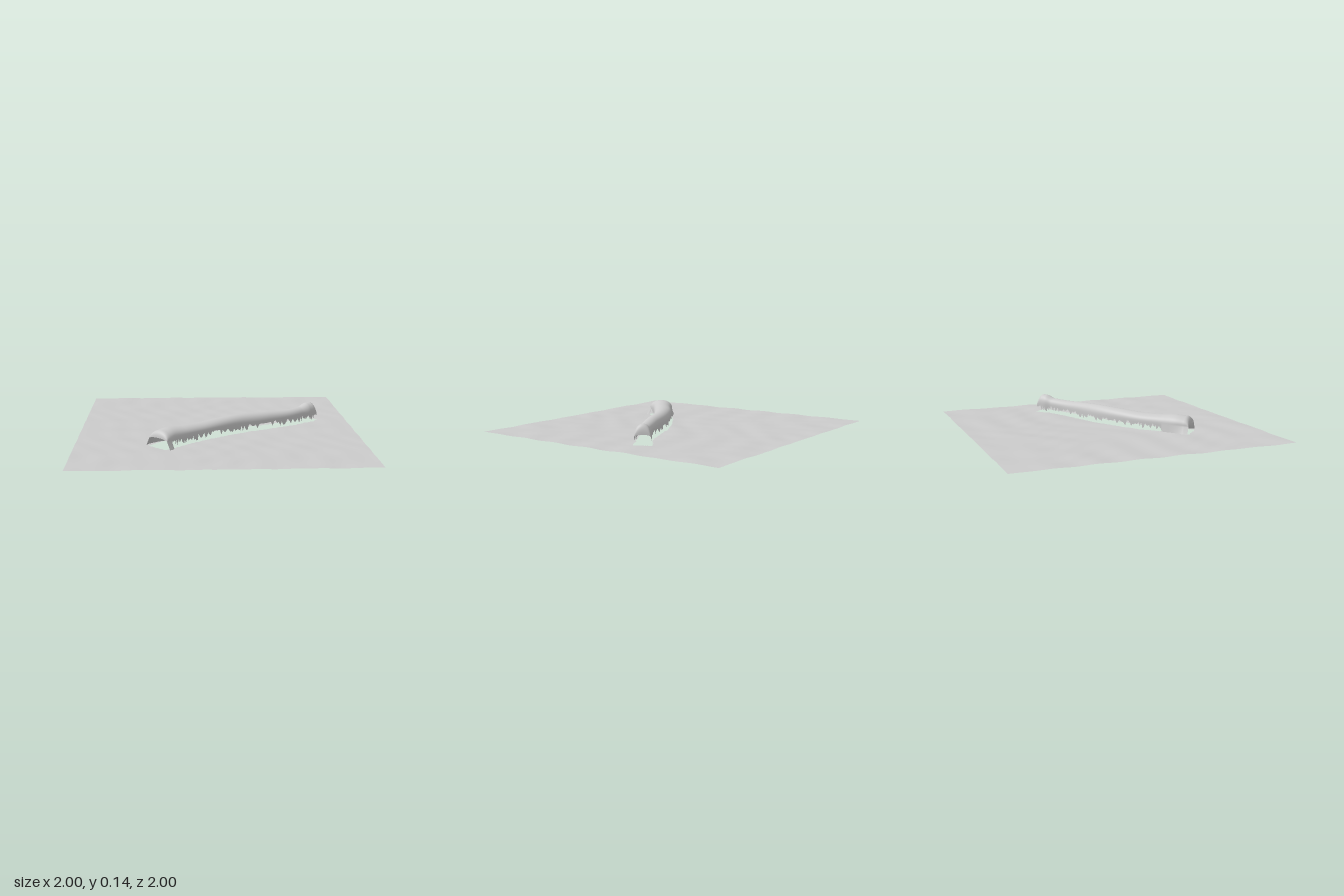
import * as THREE from 'three';

// Bone stations from left end to right end: x, z, half width, crest height
const STATIONS = [
  [-0.405, 0.48, 0.085, 0.132], [-0.36, 0.43, 0.08, 0.137], [-0.27, 0.36, 0.07, 0.128],
  [-0.15, 0.265, 0.068, 0.124], [0, 0.16, 0.065, 0.131], [0.15, 0.07, 0.062, 0.136],
  [0.35, -0.015, 0.055, 0.13], [0.525, -0.1, 0.05, 0.122], [0.635, -0.17, 0.048, 0.126],
  [0.69, -0.21, 0.056, 0.148], [0.72, -0.23, 0.055, 0.15],
];
const path = new THREE.CatmullRomCurve3(STATIONS.map(([x, z]) => new THREE.Vector3(x, 0, z)));
const sizes = new THREE.CatmullRomCurve3(STATIONS.map(([, , w, h]) => new THREE.Vector3(w, h, 0)));

// Centre, tangent and size of the bone at t
function station(t) {
  const p = path.getPoint(t), d = path.getTangent(t), s = sizes.getPoint(t);
  return { t, x: p.x, z: p.z, tx: d.x, tz: d.z, w: s.x, top: s.y };
}

function seeded(seed) {
  return () => {
    seed = (seed * 16807) % 2147483647;
    return seed / 2147483647;
  };
}

// Gently rippled ground height
function groundY(x, z) {
  const ripple = 0.0016 * Math.sin(9 * x + 17 * z + 2 * Math.sin(4 * x - 3 * z))
    + 0.001 * Math.sin(23 * z + 11 * x + 3 * Math.sin(5 * x))
    + 0.0007 * Math.sin(31 * x - 13 * z + 2 * Math.sin(7 * z));
  return 0.017 - 0.004 * x + ripple - 0.005 * Math.exp(-3 * (x * x + z * z));
}

function buildMesh(name, positions, index) {
  const geometry = new THREE.BufferGeometry();
  geometry.setAttribute('position', new THREE.Float32BufferAttribute(positions, 3));
  geometry.setIndex(index);
  geometry.computeVertexNormals();
  const material = new THREE.MeshStandardMaterial({ color: 0xcccccc, side: THREE.DoubleSide });
  const mesh = new THREE.Mesh(geometry, material);
  mesh.name = name;
  return mesh;
}

// Square sheet with an opening beneath the bone
function createGround() {
  const n = 220, positions = [], index = [];
  const samples = Array.from({ length: 121 }, (_, i) => station(i / 120));
  const inOpening = (x, z) => {
    let best = samples[0], bestD = Infinity;
    for (const s of samples) {
      const d = (x - s.x) ** 2 + (z - s.z) ** 2;
      if (d < bestD) { bestD = d; best = s; }
    }
    if (bestD > 0.02) return false;
    const dx = x - best.x, dz = z - best.z;
    const along = dx * best.tx + dz * best.tz;
    const across = dz * best.tx - dx * best.tz;
    if (along < -0.04 || along > 0.035) return false;
    const joined = (across < 0 && best.t < 0.19) || best.t < 0.02;
    return Math.abs(across) < best.w + (joined ? 0 : 0.008);
  };
  for (let j = 0; j <= n; j++) {
    for (let i = 0; i <= n; i++) {
      const x = -1 + 2 * i / n, z = -1 + 2 * j / n;
      positions.push(x, groundY(x, z), z);
      if (i === n || j === n || inOpening(x + 1 / n, z + 1 / n)) continue;
      const a = j * (n + 1) + i, b = a + n + 1;
      index.push(a, b, a + 1, a + 1, b, b + 1);
    }
  }
  return buildMesh('ground', positions, index);
}

// Open half shell: arched sections, drooping blunt ends, ragged lower edges
function createBone() {
  const rows = 150, cap = 6, m = 24, wallY = 0.066;
  const random = seeded(77), sections = [];
  const addCap = (t, sign, reach, edge, k) => {
    const s = station(t), a = (k / cap) * Math.PI / 2;
    s.x += sign * s.tx * reach * Math.sin(a);
    s.z += sign * s.tz * reach * Math.sin(a);
    s.top = edge + (s.top - edge) * Math.cos(a);
    sections.push(s);
  };
  for (let k = cap; k > 0; k--) addCap(0, -1, 0.035, 0.085, k);
  for (let i = 0; i <= rows; i++) sections.push(station(i / rows));
  for (let k = 1; k <= cap; k++) addCap(1, 1, 0.03, 0.085, k);

  const positions = [], index = [];
  const put = (s, across, y) => positions.push(s.x - s.tz * across, y, s.z + s.tx * across);
  // Lower fringe on one side: joined to the ground at the left end, torn elsewhere
  const fringe = (s, side) => {
    const joined = s.t < 0.02 || (side < 0 && s.t < 0.18);
    const flare = joined ? 0.025 * Math.max(0.3, 1 - s.t / 0.18) : 0;
    const torn = wallY - 0.045 * random() ** 1.3;
    const across = side * (s.w + flare);
    const y = joined ? groundY(s.x - s.tz * across, s.z + s.tx * across) : torn;
    put(s, across, s.t === 1 ? Math.max(y, 0.055) : y);
  };
  for (const s of sections) {
    fringe(s, 1);
    for (let j = 0; j <= m; j++) {
      const a = Math.PI * j / m;
      put(s, s.w * Math.cos(a), wallY + (s.top - wallY) * Math.sin(a) ** 0.8);
    }
    fringe(s, -1);
  }
  const stride = m + 3;
  for (let i = 0; i < sections.length - 1; i++) {
    for (let j = 0; j < stride - 1; j++) {
      const a = i * stride + j, b = a + stride;
      index.push(a, b, a + 1, a + 1, b, b + 1);
    }
  }
  return buildMesh('bone', positions, index);
}

export function createModel() {
  const group = new THREE.Group();
  group.name = 'boneOnGround';
  group.add(createGround(), createBone());
  return group;
}
